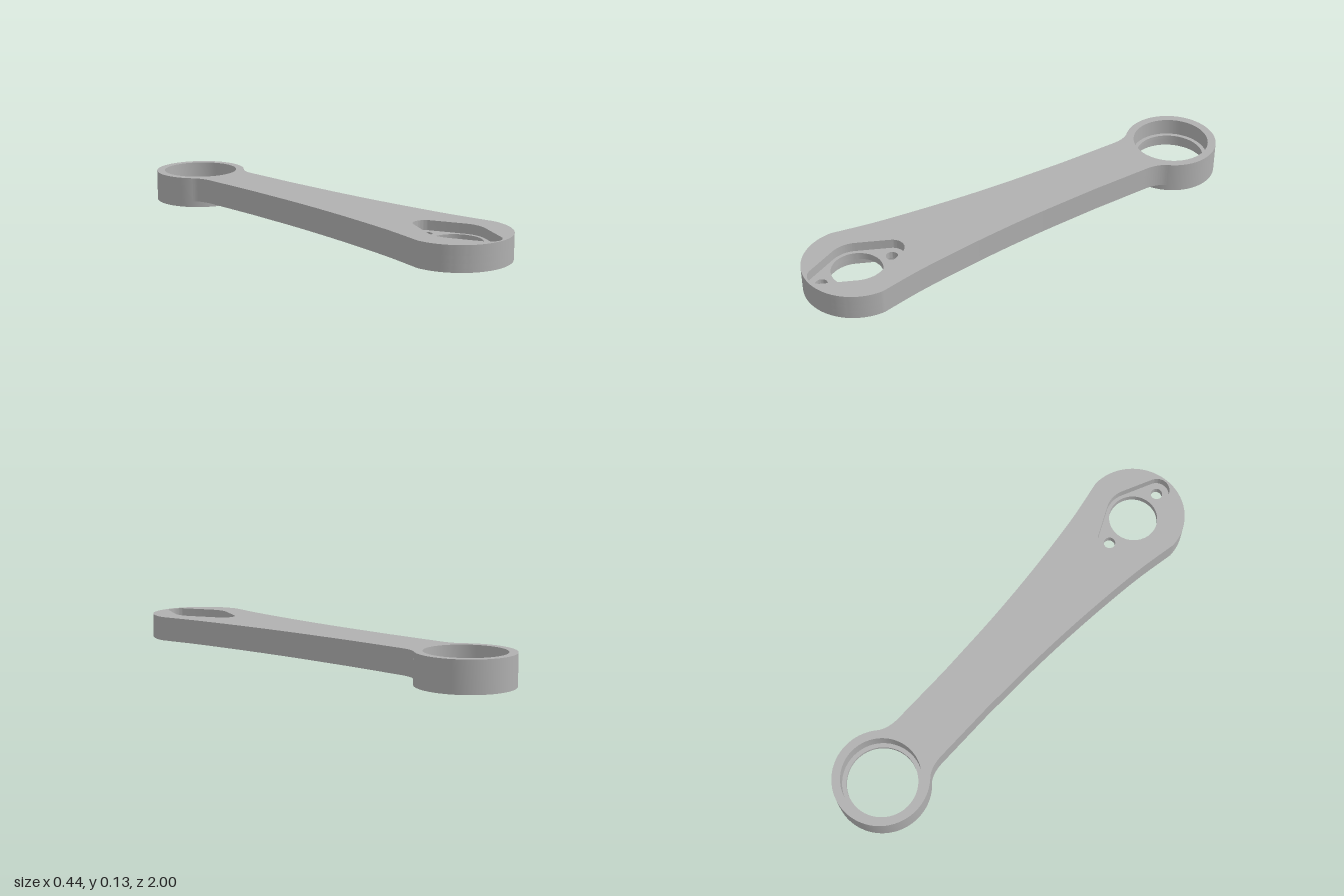
import * as THREE from 'three';
import { toCreasedNormals } from 'three/addons/utils/BufferGeometryUtils.js';

const RING_Z = -0.8, PEDAL_Z = 0.78, BOLT_OFFSET = 0.158;

// Shapes are drawn in plan: shape x = x, shape y = -z.
function armOutline() {
  const s = new THREE.Shape();
  const a = Math.atan2(-0.13, 0.152);
  s.moveTo(0.12, 0.3);
  s.lineTo(0.12, 0.57);
  s.quadraticCurveTo(0.12, 0.635, 0.152, 0.67);
  s.absarc(0, -RING_Z, 0.185, a, -Math.PI - a, true); // tucked inside the ring wall
  s.lineTo(-0.152, 0.67);
  s.quadraticCurveTo(-0.12, 0.635, -0.12, 0.57);
  s.lineTo(-0.12, 0.3);
  const flare = [[0.123, 0.2], [0.13, 0], [0.143, -0.2], [0.162, -0.4], [0.187, -0.6], [0.22, -PEDAL_Z]];
  s.splineThru(flare.map(([x, y]) => new THREE.Vector2(-x, y)));
  s.absarc(0, -PEDAL_Z, 0.22, Math.PI, 2 * Math.PI, false);
  s.splineThru([...flare.slice(0, -1).reverse(), [0.12, 0.3]].map(([x, y]) => new THREE.Vector2(x, y)));
  return s;
}

// Lozenge pocket: a large circle joined by tangents to a small one at each end
function lozenge() {
  const p = new THREE.Path(), R = 0.12, r = 0.053;
  const t = Math.asin((R - r) / BOLT_OFFSET);
  const c = -PEDAL_Z;
  p.absarc(0, c, R, -t, t, false);
  p.absarc(0, c + BOLT_OFFSET, r, t, Math.PI - t, false);
  p.absarc(0, c, R, Math.PI - t, Math.PI + t, false);
  p.absarc(0, c - BOLT_OFFSET, r, Math.PI + t, 2 * Math.PI - t, false);
  p.closePath();
  return p;
}

function circle(y, r) {
  return new THREE.Path().absarc(0, y, r, 0, 2 * Math.PI, false);
}

// Long underside channel with a cross slot and a narrow tail toward the ring
function channel(half, start, crossHalf, tailHalf) {
  const right = [[half, -start], [half, 0.455], [crossHalf, 0.455], [crossHalf, 0.5], [tailHalf, 0.5], [tailHalf, 0.575]];
  const left = right.map(([x, y]) => [-x, y]).reverse();
  return new THREE.Path([...right, ...left, right[0]].map(([x, y]) => new THREE.Vector2(x, y)));
}

function layer(name, y0, y1, holes, material) {
  const shape = armOutline();
  shape.holes.push(...holes);
  let g = new THREE.ExtrudeGeometry(shape, { depth: y1 - y0, bevelEnabled: false, curveSegments: 32 });
  g.rotateX(-Math.PI / 2);
  g.translate(0, y0, 0);
  g = toCreasedNormals(g, 0.5);
  const mesh = new THREE.Mesh(g, material);
  mesh.name = name;
  return mesh;
}

export function createModel() {
  const group = new THREE.Group();
  group.name = 'crankArm';
  const metal = new THREE.MeshStandardMaterial({ color: 0xb0b0b0 });
  metal.name = 'grey metal';

  // Arm, stacked in layers so pockets and channels have true depth
  const arm = new THREE.Group();
  arm.name = 'arm';
  arm.add(
    layer('armUnderside', 0.027, 0.038, [lozenge(), channel(0.06, 0.51, 0.095, 0.035)], metal),
    layer('armLower', 0.038, 0.062, [lozenge(), channel(0.042, 0.49, 0.085, 0.025)], metal),
    layer('armWeb', 0.062, 0.092, [
      circle(-PEDAL_Z, 0.105),
      circle(-PEDAL_Z + BOLT_OFFSET, 0.025),
      circle(-PEDAL_Z - BOLT_OFFSET, 0.025),
    ], metal),
    layer('armTop', 0.092, 0.133, [lozenge()], metal),
  );
  group.add(arm);

  // Bearing ring with an inner retaining lip
  const profile = [
    [0.2, 0], [0.2, 0.133], [0.165, 0.133], [0.165, 0.06], [0.147, 0.06],
    [0.147, 0.045], [0.163, 0.045], [0.163, 0], [0.2, 0],
  ].map(([r, y]) => new THREE.Vector2(r, y));
  const ring = new THREE.Mesh(toCreasedNormals(new THREE.LatheGeometry(profile, 72), 0.5), metal);
  ring.name = 'bearingRing';
  ring.position.z = RING_Z;
  group.add(ring);

  return group;
}
